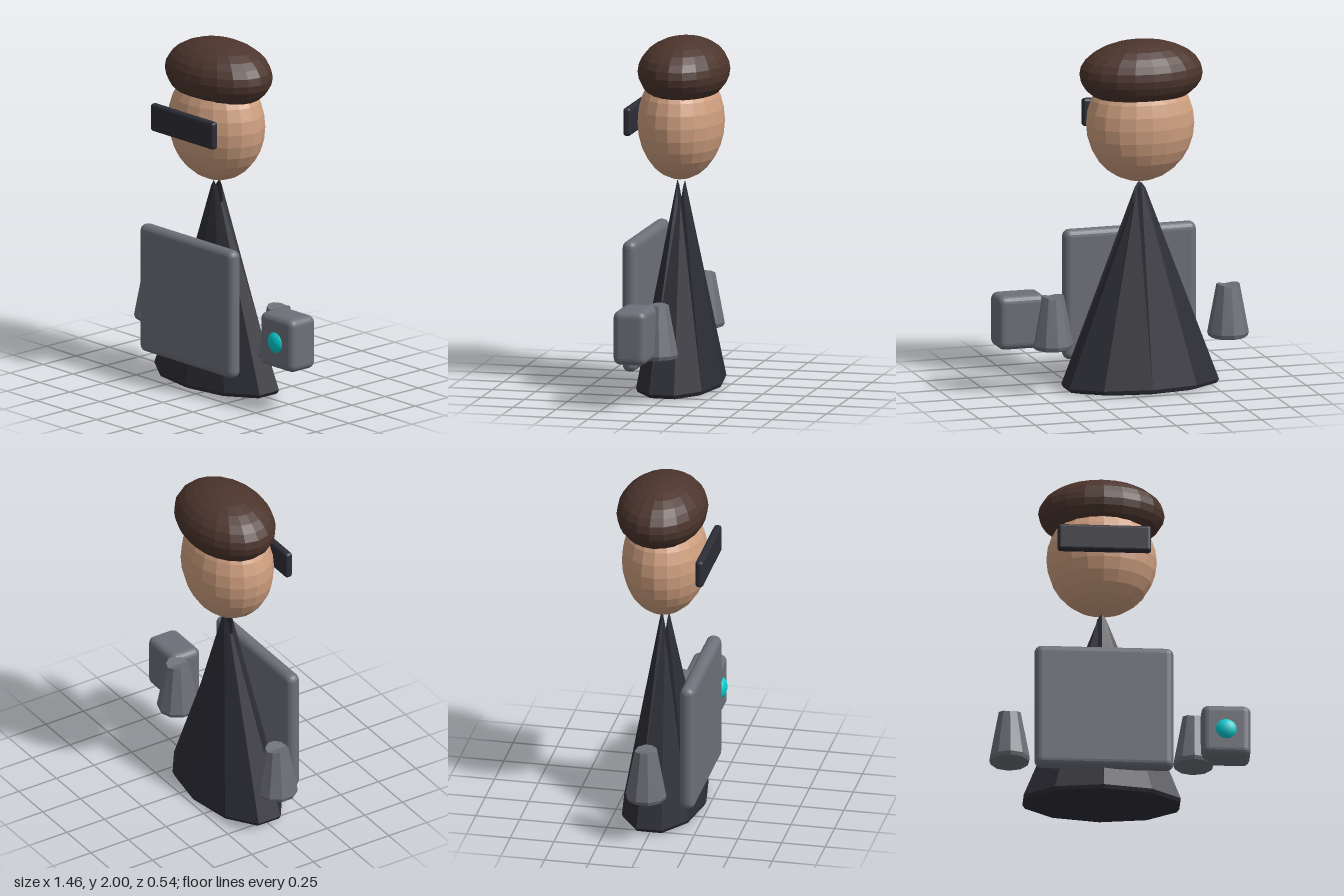
import * as THREE from 'three';
import { RoundedBoxGeometry } from 'three/addons/geometries/RoundedBoxGeometry.js';

const material = (name, color, flatShading = false) => {
  const m = new THREE.MeshStandardMaterial({ color, flatShading });
  m.name = name;
  return m;
};

// Ten-sided tapering solid with a bevelled foot; the top rim dips in a saddle along one axis
function taper(bottom, top, height, bevel, dip, axis) {
  const profile = [
    [0, 0], [bottom - bevel, 0], [bottom - bevel * 0.25, bevel * 0.3], [bottom, bevel],
    [top, height], [0, height],
  ].map(([r, y]) => new THREE.Vector2(r, y));
  const geometry = new THREE.LatheGeometry(profile, 10);
  const p = geometry.attributes.position;
  for (let i = 0; i < p.count; i++) {
    if (p.getY(i) < height - 1e-4) continue;
    const offset = Math.abs(axis === 'x' ? p.getX(i) : p.getZ(i)) / top;
    p.setY(i, height - dip * (1 - Math.min(1, offset)));
  }
  geometry.computeVertexNormals();
  return geometry;
}

export function createModel() {
  const group = new THREE.Group();
  const centreX = -0.104;
  const skin = material('skin', 0xd0a080, true);
  const hairBrown = material('hair brown', 0x4c352d, true);
  const dark = material('dark cloth', 0x2d2d36, true);
  const grey = material('grey', 0x6e7079, true);
  const cyan = material('cyan', 0x00ced1);

  const add = (name, geometry, mat, x, y, z, scale = [1, 1, 1]) => {
    const mesh = new THREE.Mesh(geometry, mat);
    mesh.name = name;
    mesh.position.set(x, y, z);
    mesh.scale.set(...scale);
    group.add(mesh);
    return mesh;
  };
  const box = (name, mat, [x0, x1], [y0, y1], [z0, z1], radius) =>
    add(name, new RoundedBoxGeometry(x1 - x0, y1 - y0, z1 - z0, 3, radius), mat,
      (x0 + x1) / 2, (y0 + y1) / 2, (z0 + z1) / 2);

  // Robe: flattened cone with a small notch at its tip
  add('robe', taper(0.235, 0.022, 1.18, 0.03, 0.18, 'z'), dark, centreX, 0.005, 0, [1.97, 1, 1]);

  // Head and hair
  const ball = new THREE.SphereGeometry(1, 20, 14);
  add('head', ball, skin, centreX, 1.52, 0, [0.31, 0.33, 0.24]);
  add('hair', ball, hairBrown, centreX, 1.81, -0.016, [0.355, 0.19, 0.252]);
  box('visor', dark, [-0.365, 0.16], [1.465, 1.625], [0.225, 0.27], 0.018);

  // Chest panel
  box('chestPanel', grey, [-0.492, 0.288], [0.145, 0.89], [0.16, 0.245], 0.04);

  // Arms
  for (const [name, side] of [['leftArm', 1], ['rightArm', -1]]) {
    add(name, taper(0.117, 0.065, 0.31, 0.03, 0.015, 'x'), grey, centreX + side * 0.516, 0.255, 0);
  }

  // Hand-held device with a round lens
  box('device', grey, [0.447, 0.724], [0.265, 0.573], [-0.008, 0.183], 0.04);
  add('lens', new THREE.SphereGeometry(1, 20, 14), cyan, 0.585, 0.42, 0.165, [0.066, 0.066, 0.042]);

  return group;
}
